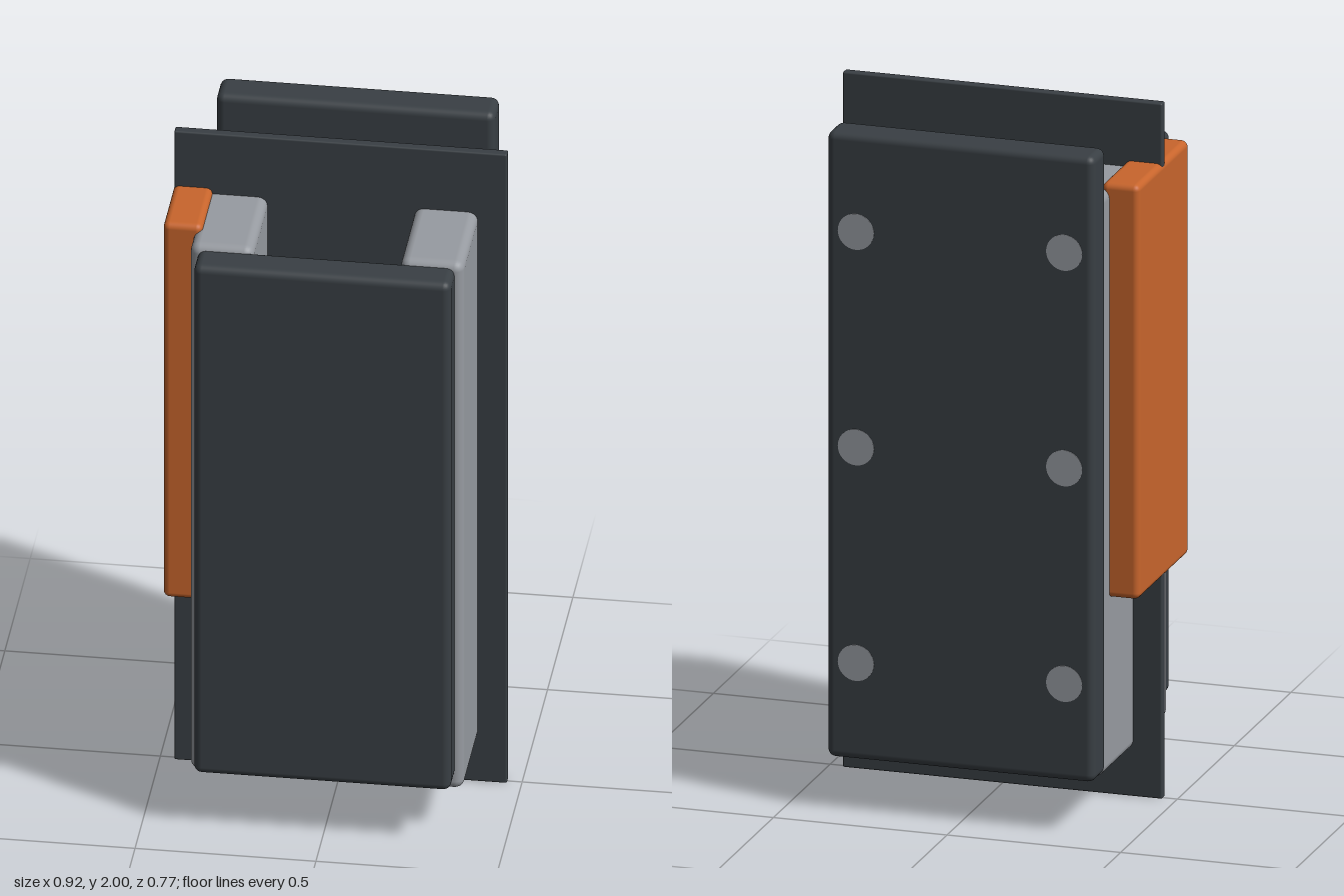
import * as THREE from 'three';
import { RoundedBoxGeometry } from 'three/addons/geometries/RoundedBoxGeometry.js';

export function createModel() {
  const model = new THREE.Group();
  model.name = 'magnetAssembly';
  const mat = (name, color) => {
    const m = new THREE.MeshStandardMaterial({ color });
    m.name = name;
    return m;
  };
  const dark = mat('darkSteel', 0x393f44);
  const grey = mat('greyMetal', 0x979ba1);
  const orange = mat('orange', 0xc8652c);

  const add = (name, geometry, material, x, y, z) => {
    const mesh = new THREE.Mesh(geometry, material);
    mesh.name = name;
    mesh.position.set(x, y, z);
    model.add(mesh);
    return mesh;
  };
  // Rounded box given by its limits on each axis
  const block = (name, material, [x0, x1], [y0, y1], [z0, z1], radius) =>
    add(name, new RoundedBoxGeometry(x1 - x0, y1 - y0, z1 - z0, 3, radius), material,
      (x0 + x1) / 2, (y0 + y1) / 2, (z0 + z1) / 2);
  // Rod along z
  const rod = (name, material, radius, x, y, z0, z1) => {
    const g = new THREE.CylinderGeometry(radius, radius, z1 - z0, 32).rotateX(Math.PI / 2);
    return add(name, g, material, x, y, (z0 + z1) / 2);
  };

  // Front and back panels, and the thin plate between them
  block('frontPanel', dark, [-0.355, 0.355], [0.18, 1.795], [0.28, 0.385], 0.022);
  block('backPanel', dark, [-0.385, 0.385], [0.15, 1.95], [-0.385, -0.277], 0.022);
  block('middlePlate', dark, [-0.46, 0.46], [0, 2], [-0.014, 0.014], 0.005);

  // Central core and bottom foot
  block('core', grey, [-0.12, 0.12], [0.35, 1.45], [-0.235, 0.23], 0.03);
  block('bottomBlock', orange, [-0.235, 0.24], [0.08, 0.22], [-0.117, 0.215], 0.025);

  // Tall block on one side
  block('sideBlock', orange, [-0.462, -0.354], [0.635, 1.827], [-0.223, 0.22], 0.018);

  for (const s of [-1, 1]) {
    // Pillars joining the panels
    block('pillar', grey, s < 0 ? [-0.377, -0.202] : [0.204, 0.379], [0.135, 1.81], [-0.3, 0.297], 0.027);
    // Cross rods inside the pillars
    for (const y of [0.6, 1.35]) rod('crossRod', orange, 0.1, s * 0.2, y, -0.282, 0.282);
    // Bolts flush with the back panel
    for (const y of [0.43, 1.05, 1.67]) rod('bolt', grey, 0.052, s * 0.3, y, -0.3862, -0.25);
  }
  return model;
}
